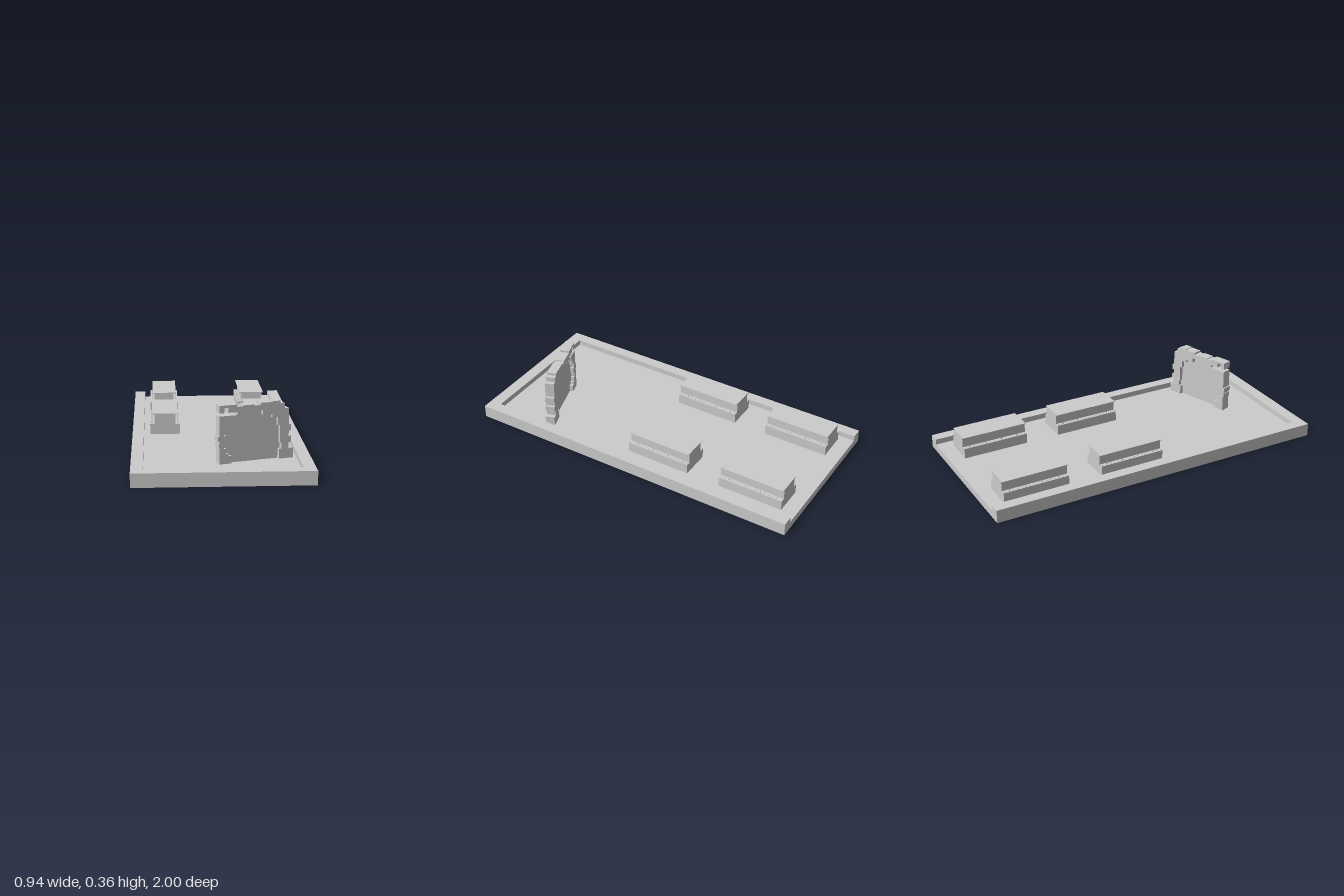
import * as THREE from 'three';

const grey = new THREE.MeshStandardMaterial({ color: 0xcccccc });
grey.name = 'plain grey';

const FLOOR = 0.043; // sunken floor level inside the rim

// Box given by its minimum and maximum corners
function box(name, x0, x1, y0, y1, z0, z1) {
  const mesh = new THREE.Mesh(new THREE.BoxGeometry(x1 - x0, y1 - y0, z1 - z0), grey);
  mesh.position.set((x0 + x1) / 2, (y0 + y1) / 2, (z0 + z1) / 2);
  mesh.name = name;
  return mesh;
}

// Tray: floor slab with a rim on three sides, open at the back
function createTray() {
  const tray = new THREE.Group();
  tray.name = 'tray';
  tray.add(box('floorSlab', -0.472, 0.472, 0, FLOOR, -1, 1));
  tray.add(box('leftRim', 0.408, 0.472, FLOOR, 0.075, -1, 1));
  tray.add(box('rightRim', -0.472, -0.408, FLOOR, 0.075, -1, 1));
  tray.add(box('frontRim', -0.408, 0.408, FLOOR, 0.075, 0.93, 1));
  return tray;
}

// Double-sided workbench: four modules, each with base, upper cabinet, top and ledge pegs
function createBench(x, z) {
  const bench = new THREE.Group();
  bench.name = 'bench';
  const half = 0.1925;
  for (const side of [-1, 1]) {
    const span = (name, a, b, y0, y1, z0, z1) =>
      box(name, Math.min(side * a, side * b), Math.max(side * a, side * b), y0, y1, z0, z1);
    for (const z0 of [-half, 0]) {
      bench.add(span('base', 0, 0.086, FLOOR, 0.102, z0, z0 + half));
      bench.add(span('upperCabinet', 0, 0.06, 0.102, 0.159, z0, z0 + half));
      bench.add(span('top', 0, 0.074, 0.159, 0.164, z0, z0 + half));
    }
    for (let i = 0; i < 16; i++) {
      const pz = -half + 0.012 + i * 0.0243;
      bench.add(span('ledgePeg', 0.073, 0.078, 0.102, i % 4 === 1 ? 0.11 : 0.105, pz - 0.003, pz + 0.003));
    }
  }
  bench.position.set(x, 0, z);
  return bench;
}

// Upright plate cut from an outline, centred on its own thickness
function plate(name, points, depth) {
  const shape = new THREE.Shape(points.map(([x, y]) => new THREE.Vector2((x - 0.186) / 0.952, y)));
  const geo = new THREE.ExtrudeGeometry(shape, { depth, bevelEnabled: false });
  geo.translate(0, 0, -depth / 2);
  const mesh = new THREE.Mesh(geo, grey);
  mesh.name = name;
  return mesh;
}

// Ruined block archway with a thin panel filling its opening
function createArch() {
  const arch = new THREE.Group();
  arch.name = 'arch';
  const inner = [
    [0.055, FLOOR], [0.055, 0.083], [0.037, 0.083], [0.037, 0.097], [0.025, 0.097],
    [0.025, 0.125], [0.014, 0.125], [0.014, 0.16], [0.027, 0.16], [0.027, 0.193],
    [0.014, 0.193], [0.014, 0.226], [0.037, 0.226], [0.037, 0.259], [0.05, 0.259],
    [0.05, 0.288], [0.097, 0.288], [0.097, 0.302], [0.13, 0.302], [0.13, 0.316],
    [0.223, 0.316], [0.223, 0.288], [0.275, 0.288], [0.275, 0.271], [0.305, 0.271],
    [0.305, 0.226], [0.317, 0.226], [0.317, 0.13], [0.325, 0.13], [0.325, 0.097],
    [0.312, 0.097], [0.312, FLOOR],
  ];
  const outer = [
    [0.39, FLOOR], [0.39, 0.097], [0.365, 0.097], [0.365, 0.13], [0.378, 0.13],
    [0.378, 0.163], [0.365, 0.163], [0.365, 0.193], [0.378, 0.193], [0.378, 0.226],
    [0.365, 0.226], [0.365, 0.316], [0.342, 0.316], [0.342, 0.344], [0.317, 0.344],
    [0.317, 0.359], [0.277, 0.359], [0.277, 0.355], [0.21, 0.355], [0.21, 0.344],
    [0.175, 0.344], [0.175, 0.349], [0.115, 0.349], [0.115, 0.344], [0.085, 0.344],
    [0.085, 0.356], [-0.01, 0.356], [-0.01, 0.316], [0.015, 0.316], [0.015, 0.343],
    [0.037, 0.343], [0.037, 0.316], [0.085, 0.316], [0.085, 0.3], [-0.01, 0.3],
    [-0.01, 0.193], [-0.018, 0.193], [-0.018, 0.165], [-0.01, 0.165], [-0.01, 0.155],
    [-0.014, 0.155], [-0.014, 0.13], [-0.01, 0.13], [-0.01, FLOOR],
  ];
  arch.add(plate('blockFrame', [...inner, ...outer], 0.055));
  arch.add(plate('archPanel', [
    [0.005, FLOOR], [0.335, FLOOR], [0.335, 0.235], [0.31, 0.28], [0.235, 0.32],
    [0.12, 0.32], [0.09, 0.296], [0.035, 0.293], [0.005, 0.235],
  ], 0.012));
  arch.position.set(0.178, 0, 0.65);
  arch.rotation.y = 0.31;
  return arch;
}

export function createModel() {
  const model = new THREE.Group();
  model.name = 'courtyard';
  model.add(createTray(), createArch());
  for (const x of [-0.286, 0.261]) {
    for (const z of [-0.722, -0.137]) model.add(createBench(x, z));
  }
  return model;
}
